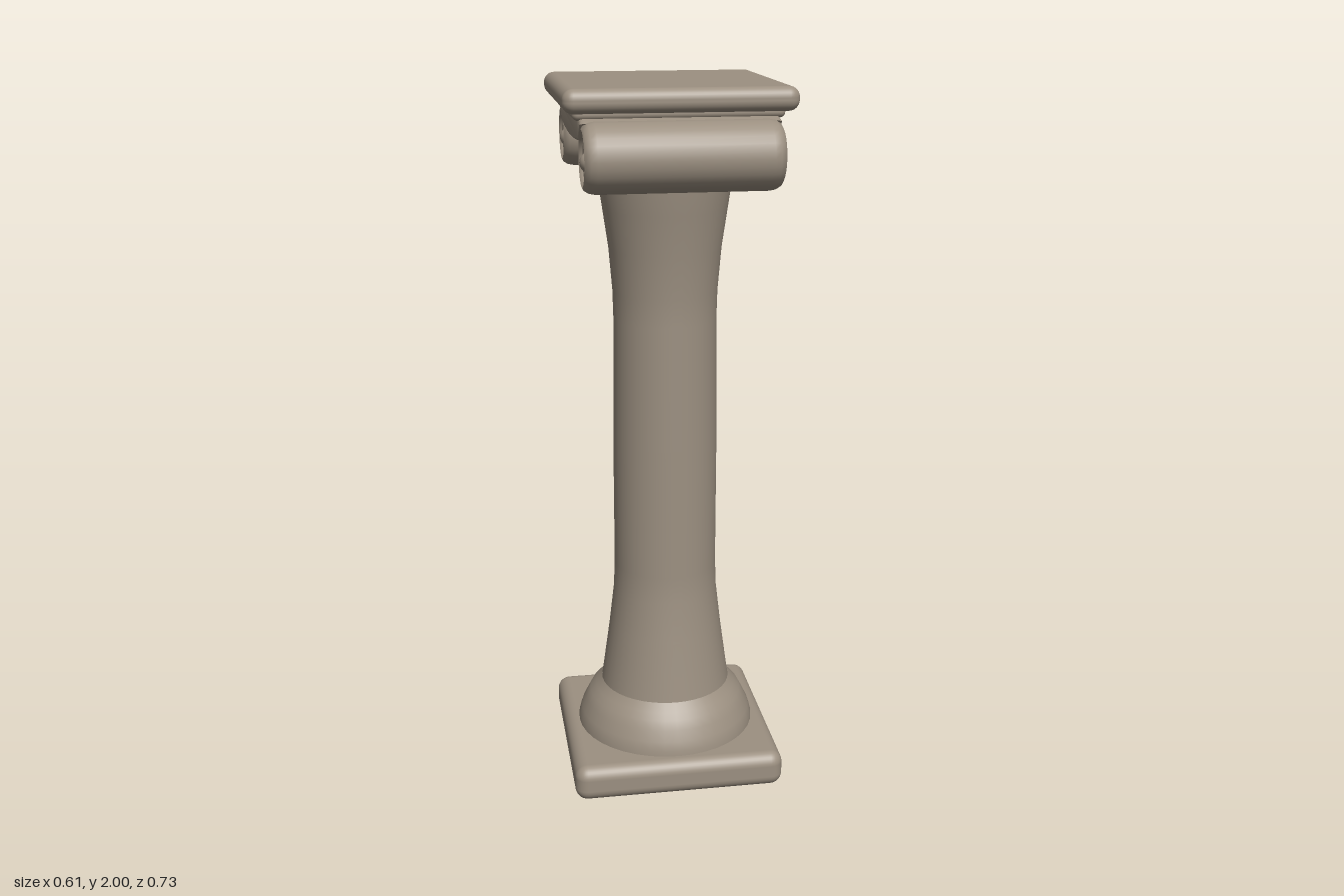
import * as THREE from 'three';
import { RoundedBoxGeometry } from 'three/addons/geometries/RoundedBoxGeometry.js';
import { toCreasedNormals } from 'three/addons/utils/BufferGeometryUtils.js';

const stone = new THREE.MeshStandardMaterial({ color: 0x9c9081 });
stone.name = 'stone';

const vectors = (pairs) => pairs.map(([a, b]) => new THREE.Vector2(a, b));

function add(parent, name, geometry, x = 0, y = 0, z = 0) {
  const mesh = new THREE.Mesh(geometry, stone);
  mesh.name = name;
  mesh.position.set(x, y, z);
  parent.add(mesh);
  return mesh;
}

// Scroll roll along x with rounded rims, recessed ends, spiral ridges and eyes
function createScroll(side) {
  const scroll = new THREE.Group();
  scroll.name = side > 0 ? 'frontScroll' : 'backScroll';
  const half = [[0.09, 0.222], [0.087, 0.238], [0.08, 0.25], [0.072, 0.254], [0.064, 0.248], [0.06, 0.228], [0, 0.226]];
  const profile = [...half.map(([r, x]) => [r, -x]).reverse(), ...half];
  const roll = toCreasedNormals(new THREE.LatheGeometry(vectors(profile), 28), 0.9);
  add(scroll, 'scrollRoll', roll.rotateZ(-Math.PI / 2));

  for (const end of [-1, 1]) {
    const points = [];
    for (let i = 0; i <= 24; i++) {
      const t = i / 24;
      const angle = Math.PI / 2 - t * Math.PI * 3;
      const radius = 0.07 - 0.042 * t;
      points.push(new THREE.Vector3(end * 0.235, Math.sin(angle) * radius, Math.cos(angle) * radius));
    }
    const path = new THREE.CatmullRomCurve3(points);
    add(scroll, 'spiralRidge', new THREE.TubeGeometry(path, 48, 0.011, 8));
    add(scroll, 'scrollEye', new THREE.SphereGeometry(0.027, 14, 10), end * 0.232, -0.01, -0.004);
  }
  scroll.position.set(0, 1.83, side * 0.276);
  if (side < 0) scroll.rotation.y = Math.PI;
  return scroll;
}

export function createModel() {
  const column = new THREE.Group();
  column.name = 'column';

  // Square slabs at the foot and head
  add(column, 'plinth', new RoundedBoxGeometry(0.605, 0.105, 0.605, 4, 0.036), 0, 0.0575);
  add(column, 'abacus', new RoundedBoxGeometry(0.6, 0.062, 0.6, 4, 0.028), 0, 1.969);

  // Round foot moulding and flared shaft
  const foot = [[0.262, 0.1], [0.26, 0.125], [0.252, 0.15], [0.238, 0.18], [0.225, 0.205], [0.208, 0.222], [0.19, 0.245]];
  add(column, 'footMoulding', new THREE.LatheGeometry(vectors(foot), 40));
  const shaft = [
    [0.192, 0.23], [0.183, 0.29], [0.165, 0.42], [0.151, 0.54], [0.148, 0.62], [0.148, 1.0],
    [0.144, 1.35], [0.146, 1.43], [0.156, 1.55], [0.172, 1.66], [0.185, 1.75], [0.189, 1.81], [0.195, 1.88],
  ];
  add(column, 'shaft', new THREE.LatheGeometry(vectors(shaft), 40));

  // Sagging band that links the front and back scrolls
  const outline = new THREE.Shape();
  outline.moveTo(-0.27, 1.912);
  outline.lineTo(-0.22, 1.875);
  outline.quadraticCurveTo(0, 1.85, 0.22, 1.875);
  outline.lineTo(0.27, 1.912);
  outline.quadraticCurveTo(0.225, 1.915, 0.215, 1.935);
  outline.lineTo(-0.215, 1.935);
  outline.quadraticCurveTo(-0.225, 1.915, -0.27, 1.912);
  const band = new THREE.ExtrudeGeometry(outline, {
    depth: 0.49, bevelEnabled: true, bevelThickness: 0.012, bevelSize: 0.008, bevelSegments: 3, curveSegments: 8,
  });
  band.translate(0, 0, -0.245).rotateY(Math.PI / 2);
  add(column, 'scrollBand', toCreasedNormals(band, 0.7));

  // Small step under the abacus
  add(column, 'neckMoulding', new RoundedBoxGeometry(0.545, 0.04, 0.5, 3, 0.015), 0, 1.938);

  for (const side of [1, -1]) column.add(createScroll(side));
  return column;
}
